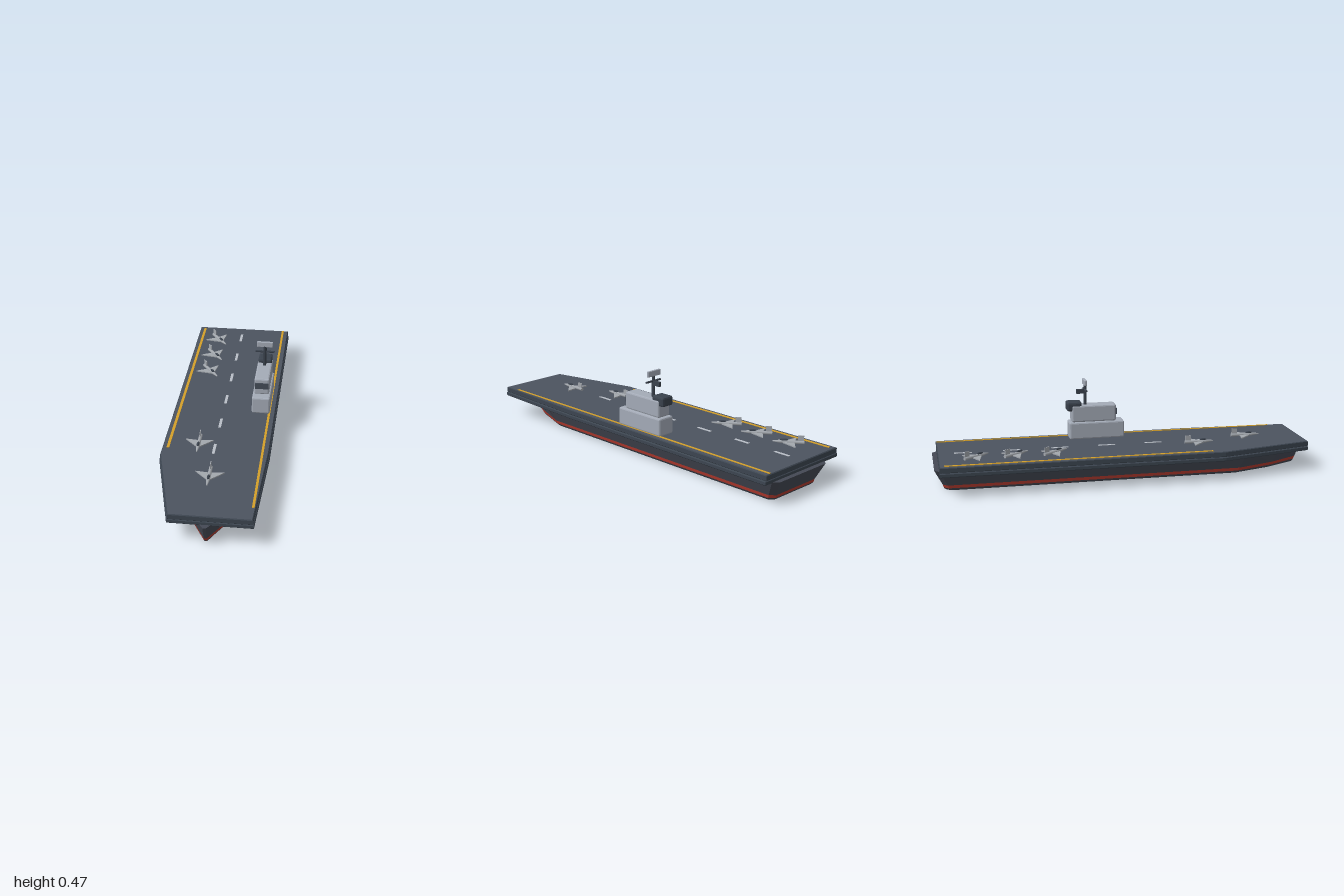
import * as THREE from 'three';
import { RoundedBoxGeometry } from 'three/addons/geometries/RoundedBoxGeometry.js';

const paint = (name, color) => Object.assign(new THREE.MeshStandardMaterial({ color }), { name });

export function createModel() {
  const hullGrey = paint('hull grey', 0x444954);
  const edgeGrey = paint('deck edge grey', 0x3c4550);
  const deckGrey = paint('deck grey', 0x4c535f);
  const red = paint('waterline red', 0xb03a2e);
  const yellow = paint('line yellow', 0xd4a02a);
  const lightGrey = paint('tower grey', 0xa4abb7);
  const darkGrey = paint('mast grey', 0x3a424d);
  const glass = paint('window grey', 0x444c58);
  const marking = paint('marking grey', 0xb9bfc7);
  const plane = paint('aircraft grey', 0xa3a8ae);

  const model = new THREE.Group();
  model.name = 'aircraftCarrier';

  function add(parent, name, geometry, material, x = 0, y = 0, z = 0) {
    const mesh = new THREE.Mesh(geometry, material);
    mesh.name = name;
    mesh.position.set(x, y, z);
    parent.add(mesh);
    return mesh;
  }
  const box = (w, h, d) => new THREE.BoxGeometry(w, h, d);
  // Box with faceted bevelled edges
  function bevelBox(w, h, d, r) {
    const g = new RoundedBoxGeometry(w, h, d, 1, r);
    g.computeVertexNormals();
    return g;
  }

  // Hull: one outline scaled ring by ring; ring = [y, halfWidth, bowZ, sternZ]
  const midX = 0.025;
  function ringPoints([y, w, bow, stern]) {
    const right = [[0.86, stern], [1, stern + 0.025], [1, bow - 0.37], [0.56, bow - 0.16], [0.04, bow]];
    const left = right.map(([u, z]) => [-u, z]).reverse();
    return [...right, ...left].map(([u, z]) => new THREE.Vector3(midX + u * w, y, z));
  }
  function loft(rings, capBottom, capTop) {
    const loops = rings.map(ringPoints);
    const tris = [];
    const n = loops[0].length;
    for (let i = 0; i < n; i++) {
      const j = (i + 1) % n;
      for (let k = 0; k + 1 < loops.length; k++) {
        const [a, b, c, d] = [loops[k][i], loops[k][j], loops[k + 1][j], loops[k + 1][i]];
        tris.push(a, c, b, a, d, c);
      }
      if (capBottom) tris.push(new THREE.Vector3(midX, rings[0][0], 0), loops[0][i], loops[0][j]);
      const top = loops.at(-1);
      if (capTop) tris.push(new THREE.Vector3(midX, rings.at(-1)[0], 0), top[j], top[i]);
    }
    const g = new THREE.BufferGeometry().setFromPoints(tris);
    g.computeVertexNormals();
    return g;
  }
  const keelTop = [0.014, 0.166, 0.958, -0.953];
  const bandTop = [0.03, 0.169, 0.965, -0.958];
  add(model, 'keel', loft([[0, 0.154, 0.945, -0.94], [0.007, 0.162, 0.953, -0.948], keelTop], true, false), hullGrey);
  add(model, 'waterlineBand', loft([keelTop, bandTop], false, false), red);
  add(model, 'hullSides', loft([bandTop, [0.112, 0.199, 1, -0.998]], false, true), hullGrey);

  // Flight deck: two bevelled slabs with an angled bow corner
  const outline = [[-0.266, -0.974], [0.266, -0.974], [0.266, 0.4], [0.243, 0.974], [-0.148, 0.974], [-0.266, 0.48]];
  function slab(grow, height, bevel) {
    const shape = new THREE.Shape(outline.map(([x, z]) => new THREE.Vector2(x + Math.sign(x) * grow, -z)));
    const g = new THREE.ExtrudeGeometry(shape, {
      depth: height - 2 * bevel, bevelThickness: bevel, bevelSize: bevel, bevelOffset: -bevel, bevelSegments: 1,
    });
    return g.rotateX(-Math.PI / 2).translate(0, bevel, 0);
  }
  add(model, 'lowerDeckSlab', slab(0.005, 0.022, 0.004), edgeGrey, 0, 0.107, 0);
  add(model, 'flightDeck', slab(0, 0.029, 0.004), [deckGrey, edgeGrey], 0, 0.128, 0);

  // Painted deck markings
  add(model, 'leftEdgeLine', box(0.012, 0.003, 1.85), yellow, 0.235, 0.158, -0.045);
  add(model, 'rightEdgeLine', box(0.014, 0.003, 1.37), yellow, -0.238, 0.158, -0.265);
  for (let i = 0; i < 6; i++) {
    add(model, 'centreDash', box(0.014, 0.003, 0.09), marking, -0.006, 0.1575, -0.845 + i * 0.25);
  }

  // Command island
  const island = new THREE.Group();
  island.name = 'island';
  island.position.x = 0.19;
  model.add(island);
  add(island, 'islandBase', bevelBox(0.095, 0.092, 0.298, 0.008), lightGrey, 0, 0.202, -0.118);
  add(island, 'bridge', bevelBox(0.078, 0.09, 0.24, 0.008), lightGrey, 0, 0.293, -0.132);
  add(island, 'bridgeWindow', box(0.07, 0.033, 0.008), glass, 0, 0.299, -0.011);
  add(island, 'rearCabin', bevelBox(0.072, 0.05, 0.08, 0.01), darkGrey, 0, 0.333, -0.238);
  add(island, 'mast', new THREE.CylinderGeometry(0.008, 0.009, 0.115, 8), darkGrey, 0, 0.392, -0.175);
  add(island, 'mastBracket', box(0.014, 0.024, 0.045), darkGrey, 0, 0.41, -0.2);
  add(island, 'mastCrossbar', bevelBox(0.1, 0.009, 0.01, 0.002), darkGrey, 0, 0.419, -0.175);
  add(island, 'radarPanel', bevelBox(0.084, 0.03, 0.014, 0.003), lightGrey, 0, 0.46, -0.177);

  // Parked aircraft, nose towards +z
  function aircraft(x, z, turn) {
    const craft = new THREE.Group();
    craft.name = 'aircraft';
    craft.position.set(x, 0.157, z);
    craft.rotation.y = turn;
    model.add(craft);
    const body = new THREE.CylinderGeometry(0.009, 0.009, 0.115, 8).rotateX(Math.PI / 2);
    add(craft, 'fuselage', body, plane, 0, 0.015, -0.02);
    const nose = new THREE.CylinderGeometry(0.003, 0.009, 0.04, 8).rotateX(Math.PI / 2);
    add(craft, 'nose', nose, plane, 0, 0.015, 0.0575);
    const wing = new THREE.Shape([[-0.07, 0.037], [-0.008, -0.027], [0.008, -0.027], [0.07, 0.037], [0.008, 0.03], [-0.008, 0.03]]
      .map(([u, v]) => new THREE.Vector2(u, v)).reverse());
    const wings = new THREE.ExtrudeGeometry(wing, { depth: 0.006, bevelEnabled: false }).rotateX(-Math.PI / 2);
    add(craft, 'wings', wings, plane, 0, 0.009, 0);
    add(craft, 'tailFin', box(0.004, 0.034, 0.03), plane, 0, 0.033, -0.06);
    const canopy = new THREE.SphereGeometry(1, 8, 6).scale(0.007, 0.007, 0.02);
    add(craft, 'canopy', canopy, darkGrey, 0, 0.024, 0.022);
  }
  aircraft(0.003, 0.668, 0);
  aircraft(-0.087, 0.385, 0);
  for (const z of [-0.785, -0.585, -0.385]) aircraft(-0.13, z, 0.62);

  return model;
}
